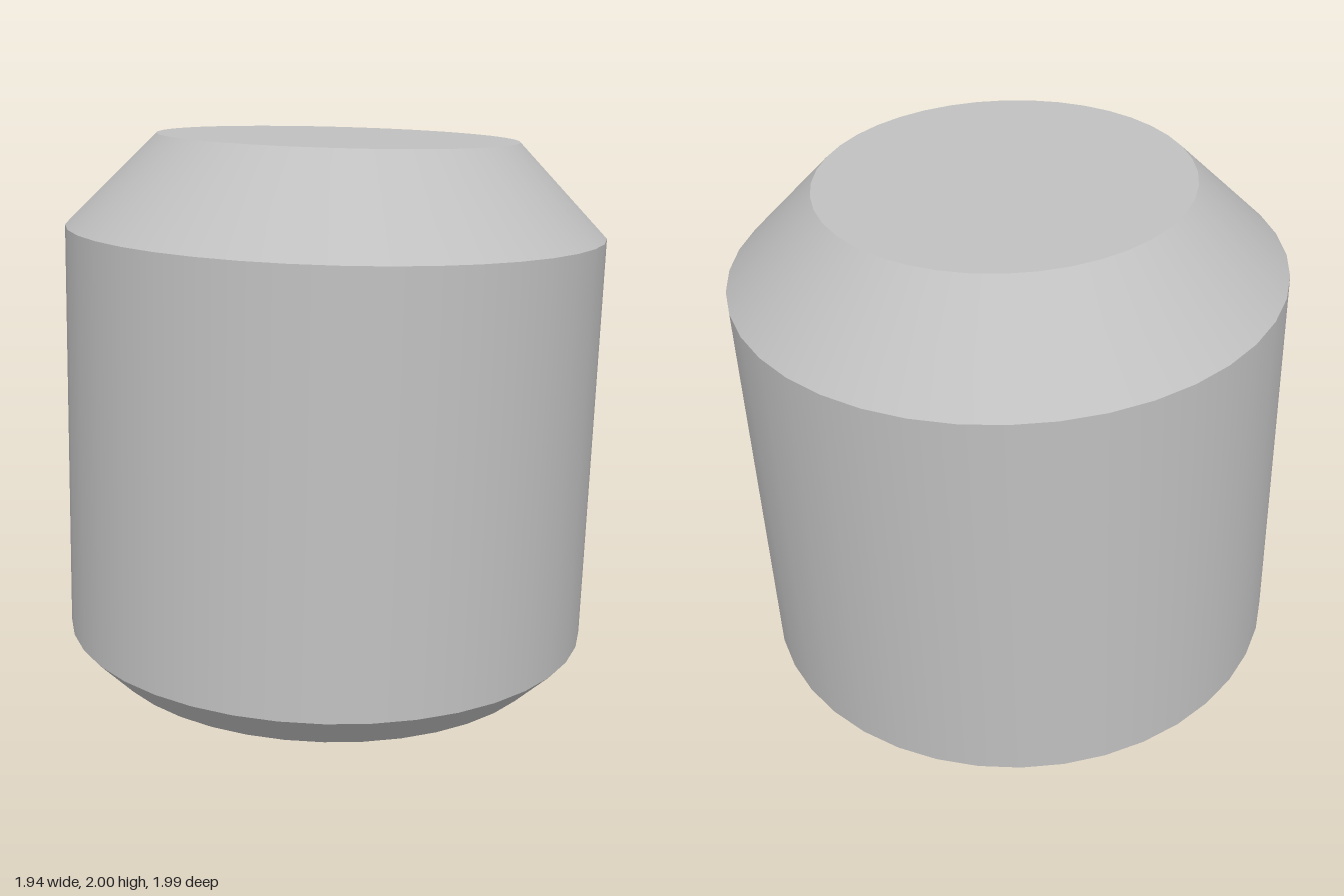
import * as THREE from 'three';

const SEGMENTS = 40;
const START = Math.PI / SEGMENTS;
const SOCKET_DEPTH = 0.8;

// Profile of the set screw: [radius, height] from the socket end to the top
const PROFILE = [[0.843, 0], [0.972, 0.13], [0.972, 1.622], [0.65, 1.947]];

// Six-pointed star, tips on the x axis
function starPoints(tip = 0.56, inner = 0.365) {
  const points = [];
  for (let i = 0; i < 12; i++) {
    const r = i % 2 ? inner : tip;
    const a = (i * Math.PI) / 6;
    points.push(new THREE.Vector2(r * Math.cos(a), r * Math.sin(a)));
  }
  return points;
}

function circlePoints(r) {
  const points = [];
  for (let i = 0; i < SEGMENTS; i++) {
    const a = START + (i * 2 * Math.PI) / SEGMENTS;
    points.push(new THREE.Vector2(r * Math.sin(a), r * Math.cos(a)));
  }
  return points;
}

// Flat inward-facing walls of the socket
function socketWalls(points, depth) {
  const positions = [];
  points.forEach((p, i) => {
    const q = points[(i + 1) % points.length];
    positions.push(p.x, 0, p.y, q.x, 0, q.y, q.x, depth, q.y);
    positions.push(p.x, 0, p.y, q.x, depth, q.y, p.x, depth, p.y);
  });
  const geometry = new THREE.BufferGeometry();
  geometry.setAttribute('position', new THREE.Float32BufferAttribute(positions, 3));
  geometry.computeVertexNormals();
  return geometry;
}

export function createModel() {
  const steel = new THREE.MeshStandardMaterial({ color: 0xc0c0c0 });
  steel.name = 'steel grey';

  const screw = new THREE.Group();
  screw.name = 'setScrew';
  const add = (name, geometry, y = 0) => {
    const mesh = new THREE.Mesh(geometry, steel);
    mesh.name = name;
    mesh.position.y = y;
    screw.add(mesh);
  };

  // Lower chamfer, body and top cone, each smooth with sharp edges between
  ['lowerChamfer', 'body', 'topCone'].forEach((name, i) => {
    const [r0, y0] = PROFILE[i];
    const [r1, y1] = PROFILE[i + 1];
    add(name, new THREE.CylinderGeometry(r1, r0, y1 - y0, SEGMENTS, 1, true, START), (y0 + y1) / 2);
  });

  // Flat top
  const [topRadius, topHeight] = PROFILE[3];
  add('topFace', new THREE.ShapeGeometry(new THREE.Shape(circlePoints(topRadius))).rotateX(-Math.PI / 2)
    .rotateY(0), topHeight);

  // Bottom face with the star-shaped socket
  const star = starPoints();
  const bottom = new THREE.Shape(circlePoints(PROFILE[0][0]));
  bottom.holes.push(new THREE.Path(star));
  add('bottomFace', new THREE.ShapeGeometry(bottom).rotateX(Math.PI / 2));
  add('socketWalls', socketWalls(star, SOCKET_DEPTH));
  add('socketFloor', new THREE.ShapeGeometry(new THREE.Shape(star)).rotateX(Math.PI / 2), SOCKET_DEPTH);

  // The whole screw leans slightly backwards
  screw.rotation.x = -0.035;
  screw.position.set(0, 0.03, 0.032);

  const model = new THREE.Group();
  model.name = 'model';
  model.add(screw);
  return model;
}
